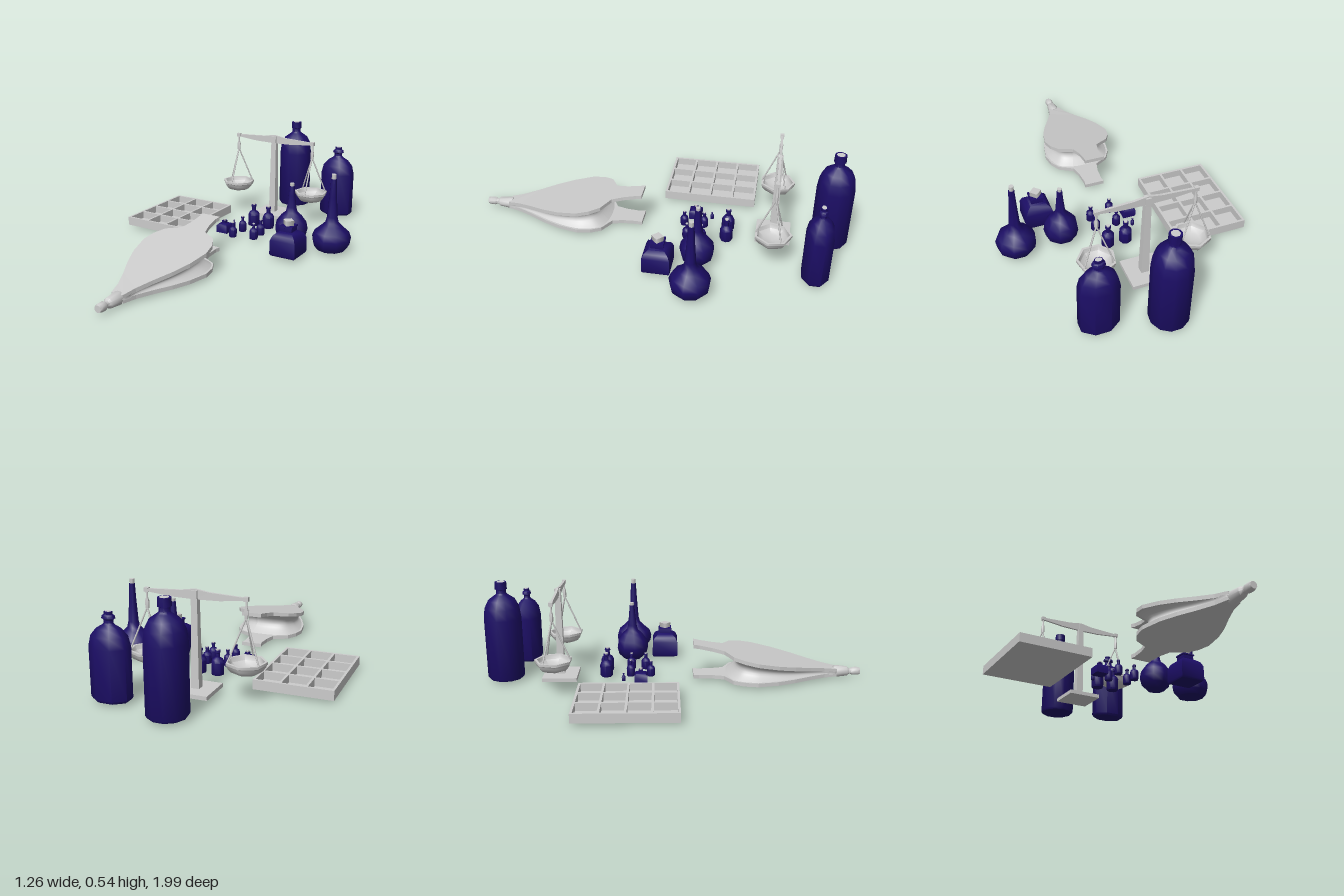
import * as THREE from 'three';
import { toCreasedNormals } from 'three/addons/utils/BufferGeometryUtils.js';

const grey = new THREE.MeshStandardMaterial({ color: 0xcccccc });
const greyThin = new THREE.MeshStandardMaterial({ color: 0xcccccc, side: THREE.DoubleSide });
const blue = new THREE.MeshStandardMaterial({ color: 0x1c0e66 });
const FLOOR = 0.015;

function add(parent, name, geometry, material = grey, x = 0, y = 0, z = 0) {
  const mesh = new THREE.Mesh(geometry, material);
  mesh.name = name;
  mesh.position.set(x, y, z);
  parent.add(mesh);
  return mesh;
}

function group(parent, name, x = 0, y = 0, z = 0) {
  const g = new THREE.Group();
  g.name = name;
  g.position.set(x, y, z);
  parent.add(g);
  return g;
}

function lathe(profile, sides, crease = 0.85, start = 0) {
  const points = profile.map(([r, y]) => new THREE.Vector2(r, y));
  return toCreasedNormals(new THREE.LatheGeometry(points, sides, start), crease);
}

// Straight round rod between two points
function rod(parent, name, a, b, r1, r2 = r1, sides = 6) {
  const dir = b.clone().sub(a);
  const mesh = add(parent, name, new THREE.CylinderGeometry(r2, r1, dir.length(), sides));
  mesh.position.copy(a).addScaledVector(dir, 0.5);
  mesh.quaternion.setFromUnitVectors(new THREE.Vector3(0, 1, 0), dir.normalize());
}

// Glass vessel: closed lathe profile and a cork [radius, bottom, top]
function bottle(parent, name, x, z, profile, sides, cork, depth = 1, start = 0) {
  const g = group(parent, name, x, FLOOR, z);
  g.scale.z = depth;
  const top = profile[profile.length - 1][1];
  add(g, 'glass', lathe([[0, 0], ...profile, [0, top]], sides, 0.85, start), blue);
  const [r, y0, y1] = cork;
  add(g, 'cork', new THREE.CylinderGeometry(r, r * 0.9, y1 - y0, Math.min(sides, 7)), grey, 0, (y0 + y1) / 2, 0);
}

function buildBottles(root) {
  // Tall storage bottles
  bottle(root, 'tallBottle', -0.015, -0.9, [[0.09, 0], [0.097, 0.012], [0.097, 0.33], [0.09, 0.385], [0.07, 0.425],
    [0.035, 0.45], [0.025, 0.46], [0.025, 0.48], [0.031, 0.482], [0.03, 0.52]], 11, [0.022, 0.5, 0.521]);
  bottle(root, 'flatBottle', 0.3, -0.83, [[0.09, 0], [0.1, 0.012], [0.1, 0.25], [0.088, 0.3], [0.06, 0.333],
    [0.03, 0.35], [0.023, 0.358], [0.023, 0.372], [0.033, 0.378], [0.03, 0.392], [0.021, 0.397], [0.021, 0.41]],
  8, [0.017, 0.39, 0.411], 0.72, Math.PI / 8);

  // Long-necked flasks
  bottle(root, 'largeFlask', 0.525, -0.237, [[0.075, 0], [0.098, 0.028], [0.104, 0.065], [0.092, 0.098], [0.055, 0.13],
    [0.035, 0.15], [0.028, 0.18], [0.02, 0.29], [0.015, 0.385]], 9, [0.013, 0.37, 0.41]);
  bottle(root, 'smallFlask', 0.288, -0.237, [[0.05, 0], [0.08, 0.03], [0.09, 0.07], [0.083, 0.11], [0.055, 0.148],
    [0.032, 0.168], [0.025, 0.195], [0.018, 0.26], [0.014, 0.312]], 9, [0.012, 0.3, 0.327]);

  // Square bottle with a wide stopper
  bottle(root, 'squareBottle', 0.365, -0.05, [[0.094, 0], [0.102, 0.01], [0.1, 0.085], [0.085, 0.11], [0.058, 0.125],
    [0.045, 0.13], [0.045, 0.15], [0.052, 0.152], [0.05, 0.16]], 4, [0.032, 0.14, 0.187], 1, Math.PI / 4);

  // Little vials, all one shape at several sizes
  const vials = [[-0.015, -0.365, 0.034, 0.13], [0.08, -0.365, 0.034, 0.13], [-0.015, -0.235, 0.022, 0.09],
    [0.1, -0.235, 0.024, 0.09], [-0.015, -0.127, 0.022, 0.085], [0.1, -0.157, 0.024, 0.09], [-0.093, -0.27, 0.01, 0.045]];
  for (const [x, z, r, h] of vials) {
    bottle(root, 'vial', x, z, [[r * 0.9, 0], [r, h * 0.06], [r, h * 0.48], [r * 0.8, h * 0.6], [r * 0.36, h * 0.68],
      [r * 0.34, h * 0.85], [r * 0.46, h * 0.87], [r * 0.42, h * 0.95]], 8, [r * 0.3, h * 0.9, h]);
  }
  bottle(root, 'inkBottle', -0.1, -0.178, [[0.048, 0], [0.048, 0.038], [0.035, 0.048], [0.016, 0.052], [0.016, 0.066]],
    4, [0.009, 0.06, 0.074], 1, Math.PI / 4);
}

function buildScale(root) {
  const scale = group(root, 'balanceScale', -0.015, 0, -0.607);
  add(scale, 'base', new THREE.BoxGeometry(0.182, 0.02, 0.182), grey, 0, FLOOR + 0.01, 0);
  const post = new THREE.CylinderGeometry(0.0215, 0.028, 0.425, 4, 1).rotateY(Math.PI / 4);
  add(scale, 'post', toCreasedNormals(post, 0.5), grey, 0, 0.2475, 0);
  for (const s of [-1, 1]) {
    add(scale, 'postFork', new THREE.BoxGeometry(0.028, 0.045, 0.008), grey, 0, 0.475, s * 0.0115);
  }

  // Tapered beam
  const half = [[0.255, 0.472], [0.12, 0.458], [0, 0.455]];
  const upper = [[0.255, 0.483], [0.07, 0.492], [0, 0.503]];
  const outline = [...half.map(([x, y]) => [-x, y]), ...half.slice(0, 2).reverse(), ...upper,
    ...upper.slice(0, 2).reverse().map(([x, y]) => [-x, y])];
  const beam = new THREE.ExtrudeGeometry(new THREE.Shape(outline.map(p => new THREE.Vector2(...p))),
    { depth: 0.012, bevelEnabled: false });
  add(scale, 'beam', beam, grey, 0, 0, -0.006);

  // Hangers, cords and pans
  for (const s of [-1, 1]) {
    const side = group(scale, 'hangingPan', s * 0.245, 0, 0);
    add(side, 'beamEnd', new THREE.BoxGeometry(0.022, 0.02, 0.02), grey, 0, 0.478, 0);
    add(side, 'hanger', lathe([[0, 0.388], [0.009, 0.39], [0.01, 0.425], [0.005, 0.44], [0.005, 0.48]], 6));
    const top = new THREE.Vector3(0, 0.395, 0);
    for (let i = 0; i < 3; i++) {
      const a = Math.PI / 2 + i * Math.PI * 2 / 3;
      rod(side, 'cord', top, new THREE.Vector3(Math.cos(a) * 0.086, 0.19, Math.sin(a) * 0.086), 0.004);
    }
    const bowl = [[0, 0.135], [0.05, 0.138], [0.075, 0.15], [0.09, 0.17], [0.092, 0.18], [0.096, 0.182], [0.096, 0.194],
      [0.084, 0.194], [0.078, 0.172], [0.05, 0.152], [0, 0.147]];
    add(side, 'pan', lathe(bowl, 7, 0.95, Math.PI));
  }
}

// Sorting tray of three by four compartments
function buildTray(root) {
  const w = 0.39, d = 0.51, h = 0.048, t = 0.012;
  const tray = group(root, 'sortingTray', -0.44, FLOOR, -0.235);
  add(tray, 'trayFloor', new THREE.BoxGeometry(w, 0.008, d), grey, 0, 0.004, 0);
  for (let i = 0; i <= 3; i++) {
    add(tray, 'longWall', new THREE.BoxGeometry(t, h, d), grey, (w - t) * (i / 3 - 0.5), h / 2, 0);
  }
  for (let i = 0; i <= 4; i++) {
    add(tray, 'crossWall', new THREE.BoxGeometry(w, h, t), grey, 0, h / 2, (d - t) * (i / 4 - 0.5));
  }
}

function buildBellows(root) {
  const bellows = group(root, 'bellows', -0.015, 0, 0);
  const lift = z => 0.196 * (0.86 - Math.min(z, 0.86));

  // Boards: handle and leaf-shaped body
  const body = [[0.145, 0.305], [0.175, 0.36], [0.187, 0.43], [0.165, 0.54], [0.13, 0.63],
    [0.085, 0.72], [0.05, 0.8], [0.032, 0.87]];
  const right = [[0.055, 0.1], [0.05, 0.13], [0.055, 0.2], [0.07, 0.262], ...body];
  const outline = [...right, ...right.slice().reverse().map(([x, z]) => [-x, z])];
  const shape = new THREE.Shape(outline.map(([x, z]) => new THREE.Vector2(x, -z)));
  const board = () => new THREE.ExtrudeGeometry(shape, { depth: 0.02, bevelEnabled: false }).rotateX(-Math.PI / 2);
  add(bellows, 'lowerBoard', board(), grey, 0, FLOOR, 0);
  const raised = board();
  const p = raised.attributes.position;
  for (let i = 0; i < p.count; i++) p.setY(i, p.getY(i) + lift(p.getZ(i)));
  raised.computeVertexNormals();
  add(bellows, 'upperBoard', raised, grey, 0, 0.036, 0);

  // Leather skirt, pinched inward halfway up
  const edge = [[0.07, 0.275], ...body];
  const loop = [...edge, ...edge.slice().reverse().map(([x, z]) => [-x, z])];
  const curve = new THREE.CatmullRomCurve3(loop.map(([x, z]) => new THREE.Vector3(x * 0.97, 0, z)), true, 'centripetal');
  const leather = new THREE.PlaneGeometry(1, 1, 72, 10);
  const q = leather.attributes.position, uv = leather.attributes.uv;
  for (let i = 0; i < q.count; i++) {
    const c = curve.getPoint(uv.getX(i) % 1), v = uv.getY(i), gap = lift(c.z);
    const k = 1 - 0.25 * Math.sin(Math.PI * v) * Math.min(1, gap / 0.08);
    q.setXYZ(i, c.x * k, 0.03 + v * (gap + 0.012), 0.5 + (c.z - 0.5) * k);
  }
  leather.computeVertexNormals();
  add(bellows, 'leather', leather, greyThin);

  // Nozzle along +z
  const nozzle = lathe([[0, 0], [0.03, 0], [0.033, 0.015], [0.026, 0.075], [0.017, 0.085], [0.016, 0.095],
    [0.022, 0.105], [0.022, 0.13], [0.018, 0.145], [0, 0.145]], 9).rotateX(Math.PI / 2);
  add(bellows, 'nozzle', nozzle, grey, 0, 0.034, 0.855);
}

export function createModel() {
  const root = new THREE.Group();
  root.name = 'apothecarySet';
  buildBottles(root);
  buildScale(root);
  buildTray(root);
  buildBellows(root);
  return root;
}
